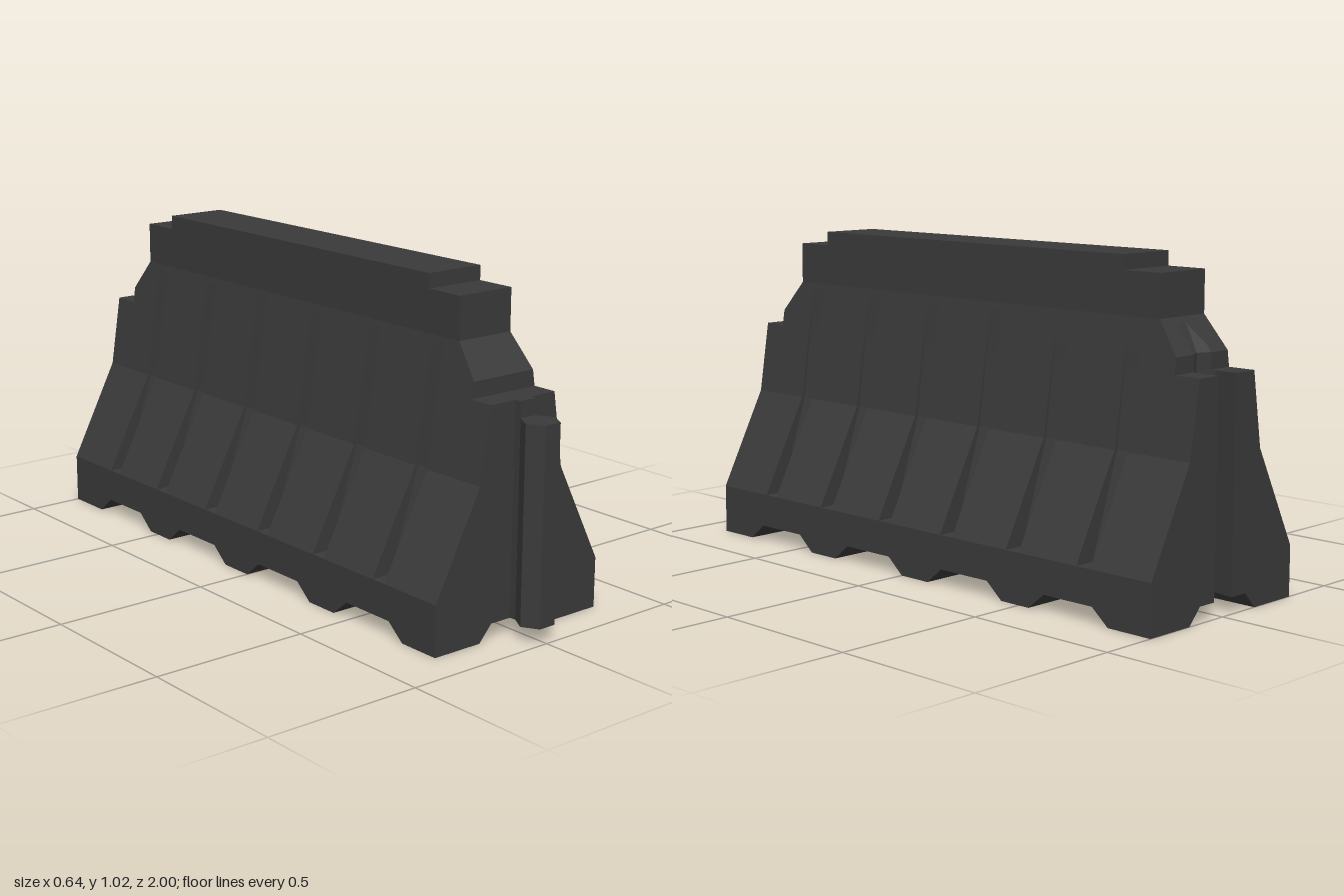
import * as THREE from 'three';

const material = new THREE.MeshStandardMaterial({ color: 0x3a3a3a, flatShading: true });

// Near edges of the six tapering grooves on each flank
const GROOVE_W = 0.052;
const grooves = [0, 1, 2, 3, 4, 5].map((i) => -0.777 + i * 0.277);

// Levels of the barrier: [height, half width, front z, back z, groove depth]
const levels = [
  [0.05, 0.32, 0.88, -1, 0],
  [0.157, 0.32, 0.88, -1, 0],
  [0.157, 0.32, 0.88, -1, 0.07],
  [0.47, 0.16, 0.88, -1, 0.012],
  [0.70, 0.124, 0.88, -1, 0.005],
  [0.70, 0.124, 0.80, -0.91, 0.005],
  [0.75, 0.116, 0.80, -0.91, 0.003],
  [0.83, 0.103, 0.736, -0.85, 0],
  [0.85, 0.10, 0.72, -0.835, 0],
  [0.98, 0.10, 0.72, -0.835, 0],
  [0.98, 0.10, 0.59, -0.70, 0],
  [1.025, 0.10, 0.59, -0.70, 0],
];

// Plan outline at one level: flanks with grooves, plus the socket in the back end
function planRing([y, w, front, back, depth]) {
  const side = [[w, back]];
  for (const z of grooves) {
    side.push([w, z], [w - depth, z], [w - depth, z + GROOVE_W], [w, z + GROOVE_W]);
  }
  side.push([w, front]);
  const mirrored = side.map(([x, z]) => [-x, z]).reverse();
  const socket = [[-0.04, -1], [-0.055, -0.915], [0, -0.89], [0.055, -0.915], [0.04, -1]];
  return [...side, ...mirrored, ...socket].map(
    ([x, z]) => new THREE.Vector3(x, y, THREE.MathUtils.clamp(z, back, front)));
}

// Joins the plan outlines into one closed, faceted body
function bodyGeometry() {
  const rings = levels.map(planRing);
  const points = [];
  for (let k = 0; k < rings.length - 1; k++) {
    const low = rings[k], high = rings[k + 1], n = low.length;
    for (let i = 0; i < n; i++) {
      const j = (i + 1) % n;
      points.push(low[i], high[i], high[j], low[i], high[j], low[j]);
    }
  }
  const cap = (ring, up) => {
    const flat = ring.map((p) => new THREE.Vector2(p.x, p.z));
    for (const [a, b, c] of THREE.ShapeUtils.triangulateShape(flat, [])) {
      const facesUp = THREE.ShapeUtils.area([flat[a], flat[b], flat[c]]) < 0;
      points.push(...(facesUp === up ? [a, b, c] : [a, c, b]).map((i) => ring[i]));
    }
  };
  cap(rings[0], false);
  cap(rings[rings.length - 1], true);
  const geometry = new THREE.BufferGeometry().setFromPoints(points);
  geometry.computeVertexNormals();
  return geometry;
}

// Foot block that narrows downwards on its inner side and chosen ends
function footGeometry(side, zBottom, zTop) {
  const geometry = new THREE.BoxGeometry(1, 1, 1).toNonIndexed();
  const p = geometry.attributes.position;
  for (let i = 0; i < p.count; i++) {
    const top = p.getY(i) > 0;
    const outer = p.getX(i) * side > 0;
    const z = (top ? zTop : zBottom)[p.getZ(i) > 0 ? 1 : 0];
    p.setXYZ(i, side * (outer ? 0.32 : top ? 0.105 : 0.15), top ? 0.05 : 0, z);
  }
  geometry.computeVertexNormals();
  return geometry;
}

export function createModel() {
  const group = new THREE.Group();
  group.name = 'roadBarrier';
  const add = (name, geometry, x = 0, y = 0, z = 0) => {
    const mesh = new THREE.Mesh(geometry, material);
    mesh.name = name;
    mesh.position.set(x, y, z);
    group.add(mesh);
    return mesh;
  };

  add('body', bodyGeometry());

  // Five feet along each side: [bottom z range, top z range]
  const feet = [
    [[0.74, 0.88], [0.68, 0.88]],
    [[0.315, 0.43], [0.255, 0.49]],
    [[-0.115, 0], [-0.175, 0.06]],
    [[-0.54, -0.43], [-0.60, -0.37]],
    [[-1, -0.845], [-1, -0.785]],
  ];
  for (const side of [1, -1]) {
    for (const [bottom, top] of feet) {
      add(side > 0 ? 'leftFoot' : 'rightFoot', footGeometry(side, bottom, top));
    }
  }

  // Interlocking tongue at the front end
  add('tongueNeck', new THREE.BoxGeometry(0.06, 0.65, 0.04), 0, 0.375, 0.88);
  const tongue = add('tongue', new THREE.CylinderGeometry(0.0577, 0.0577, 0.6, 6), 0, 0.35, 0.95);
  tongue.rotation.y = Math.PI / 6;

  return group;
}
